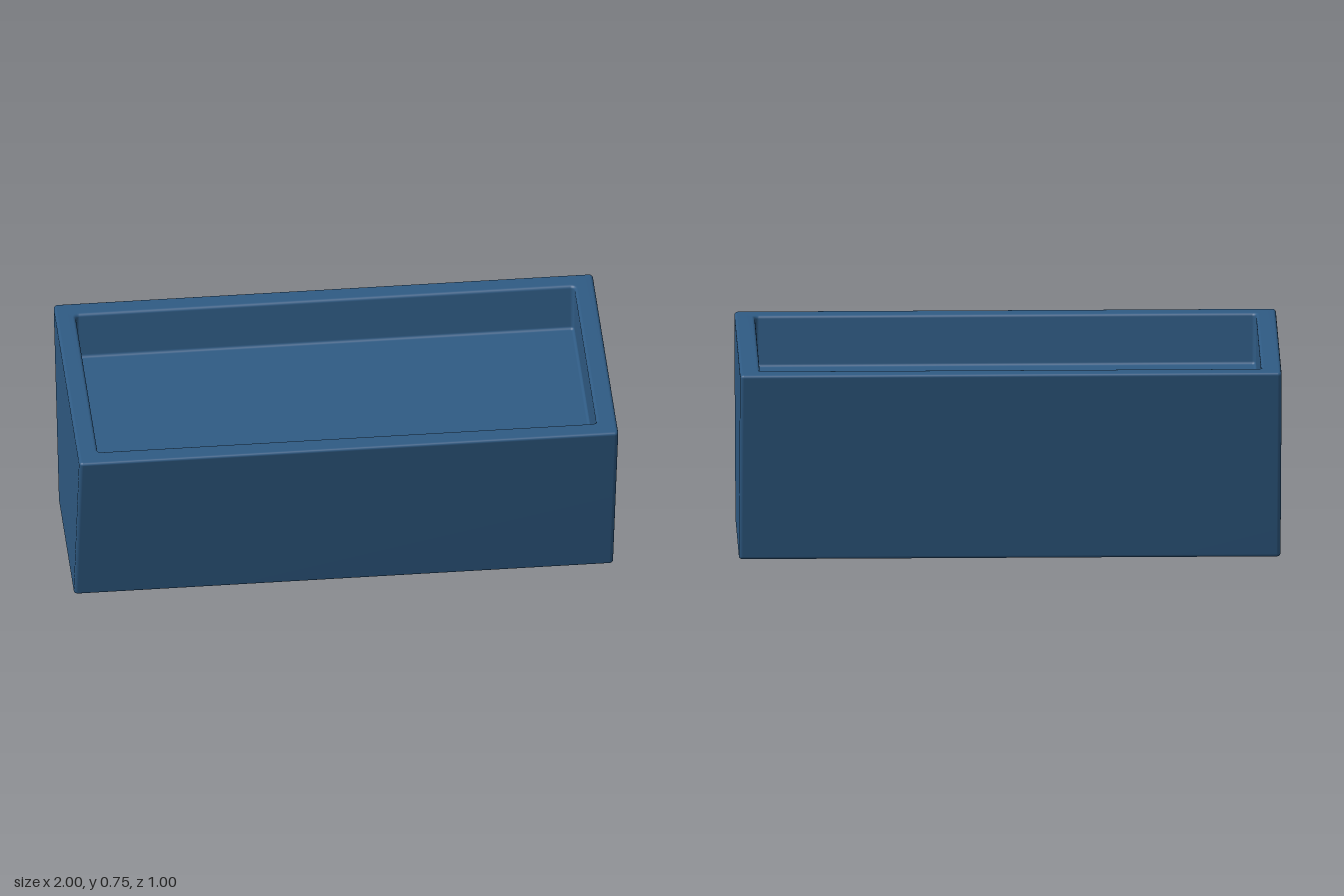
import * as THREE from 'three';

const HEIGHT = 0.75, FLOOR = 0.555;   // rim height and inner floor height
const FILLET = 0.012, CORNER = 0.015; // edge rounding and plan corner radius
const STEPS = 5;

// Half depth of the flared front and back walls at height y
const halfDepth = (y) => 0.295 + 0.275 * y;

// Rounded rectangle in plan, as a closed loop of points
function ring({ hx, hz, r, y }) {
  const points = [];
  const signs = [[1, 1], [-1, 1], [-1, -1], [1, -1]];
  signs.forEach(([sx, sz], quarter) => {
    for (let i = 0; i <= STEPS; i++) {
      const a = (quarter + i / STEPS) * Math.PI / 2;
      points.push([sx * (hx - r) + r * Math.cos(a), y, sz * (hz - r) + r * Math.sin(a)]);
    }
  });
  return points;
}

// Skin a stack of rings; shared vertices keep the fillets smooth and the faces flat
function skin(levels) {
  const rings = levels.map(ring);
  const n = rings[0].length;
  const index = [];
  for (let i = 0; i < rings.length - 1; i++) {
    for (let j = 0; j < n; j++) {
      const k = (j + 1) % n;
      const a = i * n + j, b = a + n, c = i * n + k, d = c + n;
      index.push(a, b, c, c, b, d);
    }
  }
  const geometry = new THREE.BufferGeometry();
  geometry.setAttribute('position', new THREE.Float32BufferAttribute(rings.flat(2), 3));
  geometry.setIndex(index);
  geometry.computeVertexNormals();
  return geometry;
}

export function createModel() {
  const group = new THREE.Group();
  group.name = 'planter';

  const outer = (inset, y) => ({ hx: 1 - inset, hz: halfDepth(y) - inset, r: CORNER - inset, y });
  const inner = (inset, y) => ({ hx: 0.925 - inset, hz: 0.426 - inset, r: CORNER - inset, y });
  const arc = (make) => Array.from({ length: STEPS + 1 }, (_, i) => {
    const a = (i / STEPS) * Math.PI / 2;
    return make(FILLET * (1 - Math.sin(a)), FILLET * (1 - Math.cos(a)));
  });

  const levels = [
    { hx: 0, hz: 0, r: 0, y: 0 },                      // underside centre
    ...arc((inset, rise) => outer(inset, rise)),       // bottom edge
    ...arc((a, b) => outer(b, HEIGHT - a)),            // outer rim edge
    ...arc((a, b) => inner(-a, HEIGHT - b)),           // inner rim edge
    ...arc((a, b) => inner(b, FLOOR + a)),             // floor edge
    { hx: 0, hz: 0, r: 0, y: FLOOR },                  // floor centre
  ];

  const trough = new THREE.Mesh(skin(levels), new THREE.MeshStandardMaterial({ color: 0x2f5b84 }));
  trough.name = 'trough';
  group.add(trough);
  return group;
}
